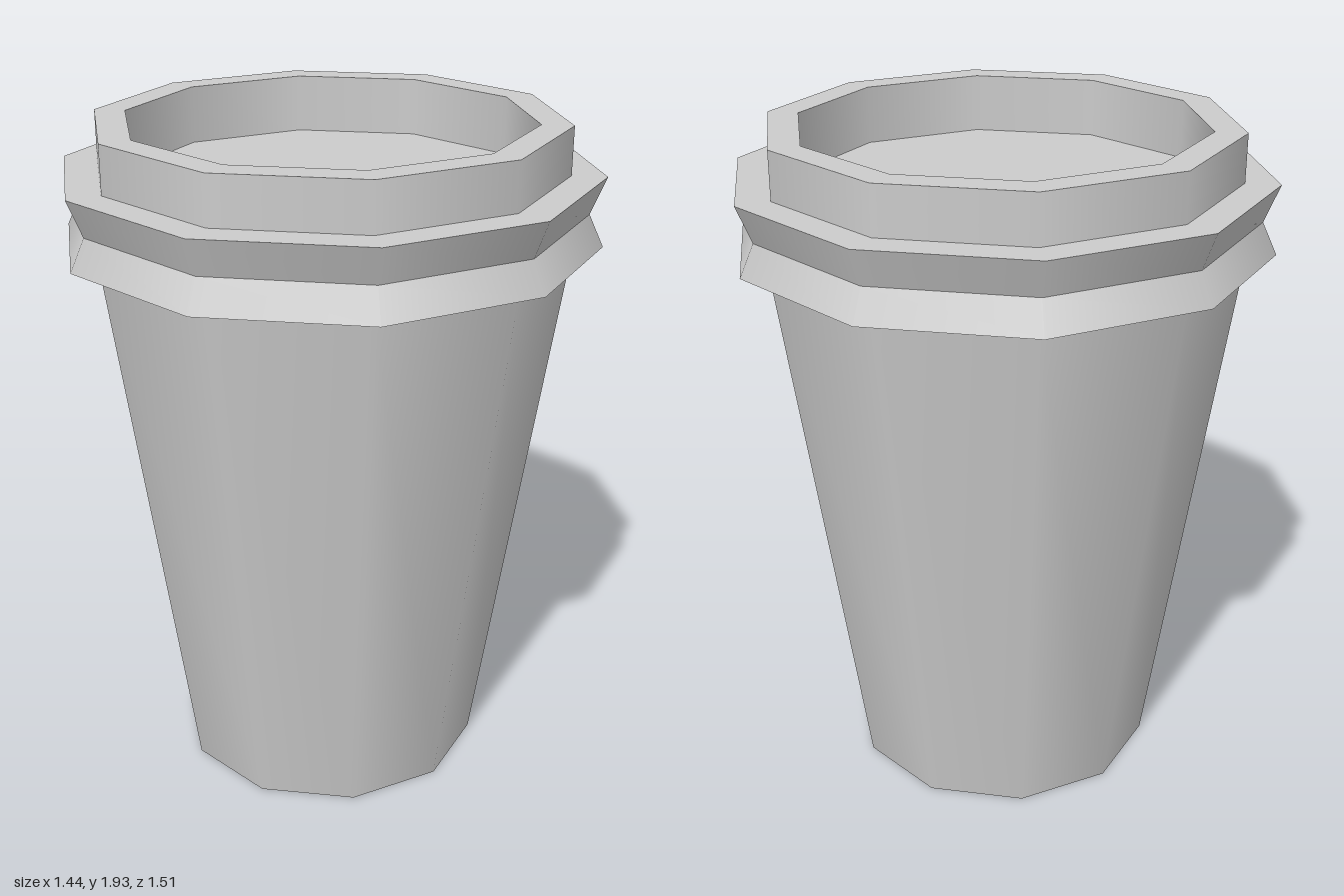
import * as THREE from 'three';

const SIDES = 10;
const RIM = 1.93; // rim height on the centre line

const material = new THREE.MeshStandardMaterial({ color: 0xcccccc });

// Rim height rises towards +x, a little steeper on the high side
const rimHeight = (x) => RIM + x * (x > 0 ? 0.112 : 0.08);

// One ten-sided band between two [radius, y] points: smooth around, sharp at its edges
function band(name, from, to) {
  const geometry = new THREE.LatheGeometry(
    [new THREE.Vector2(...from), new THREE.Vector2(...to)], SIDES);
  const pos = geometry.attributes.position;
  for (let i = 0; i < pos.count; i++) {
    if (pos.getY(i) === RIM) pos.setY(i, rimHeight(pos.getX(i)));
  }
  if (from[1] === RIM && to[1] === RIM) geometry.computeVertexNormals();
  const mesh = new THREE.Mesh(geometry, material);
  mesh.name = name;
  return mesh;
}

// Chain of bands along a profile; names[i] labels the band from points[i] to points[i + 1]
function bands(groupName, names, points) {
  const group = new THREE.Group();
  group.name = groupName;
  names.forEach((name, i) => group.add(band(name, points[i], points[i + 1])));
  return group;
}

export function createModel() {
  const model = new THREE.Group();
  model.name = 'takeawayCup';

  // Tapered cup
  model.add(bands('cup', ['cupBase', 'cupWall'],
    [[0, 0], [0.447, 0], [0.678, 1.6]]));

  // Lid: pinched collar, slanted drinking rim and sunken top
  model.add(bands('lid',
    ['collarUnderside', 'collarLower', 'collarUpper', 'collarTop',
      'rimOuterWall', 'rimTop', 'rimInnerWall', 'lidFloor'],
    [[0.678, 1.6], [0.757, 1.6], [0.715, 1.69], [0.757, 1.795], [0.66, 1.795],
      [0.66, RIM], [0.572, RIM], [0.572, 1.765], [0, 1.765]]));

  return model;
}
